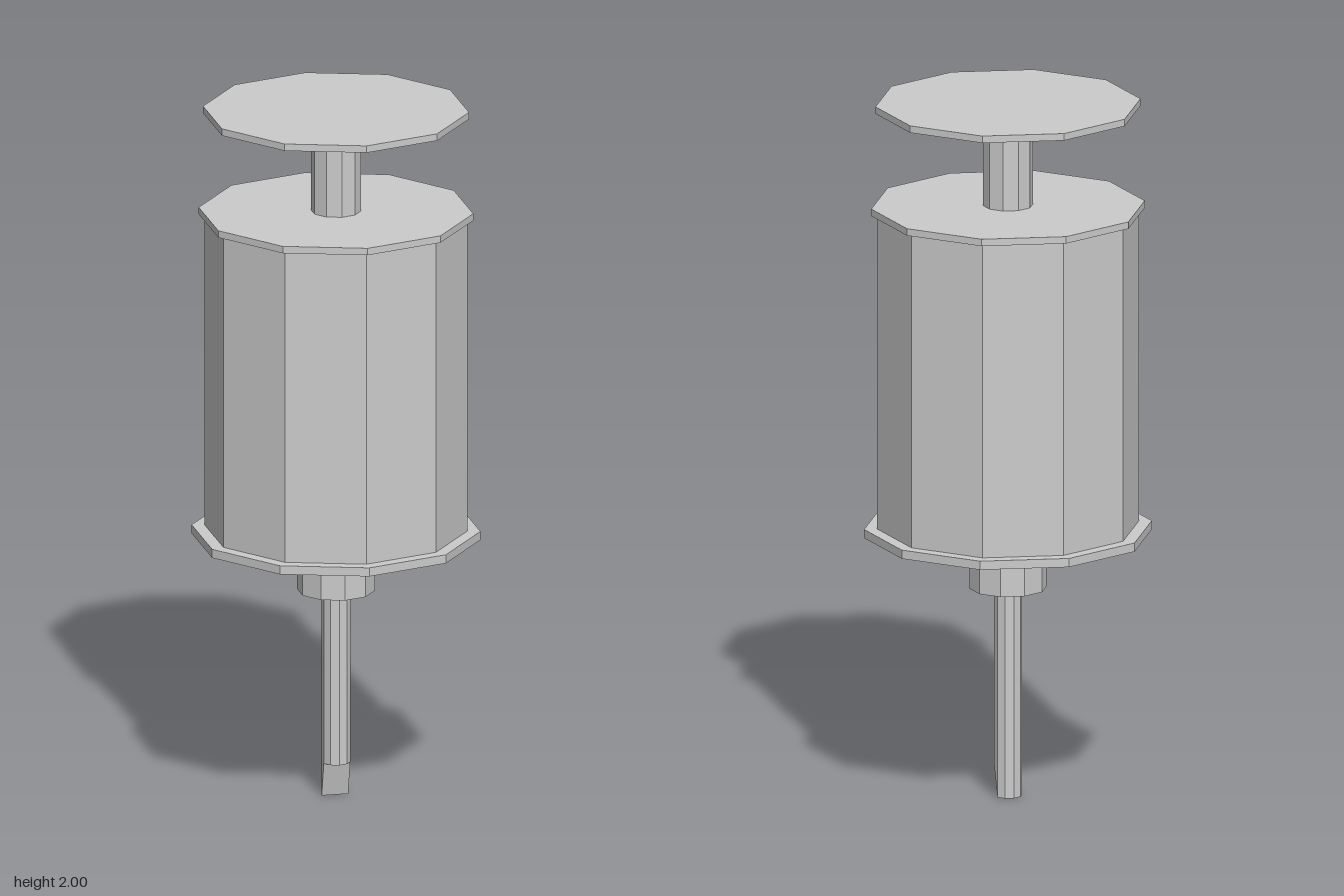
import * as THREE from 'three';

const SIDES = 10;

export function createModel() {
  const group = new THREE.Group();
  const material = new THREE.MeshStandardMaterial({ color: 0xcccccc, flatShading: true });

  function add(name, geometry) {
    const mesh = new THREE.Mesh(geometry, material);
    mesh.name = name;
    group.add(mesh);
  }

  // Ten-sided prism between two heights
  function prism(name, radius, bottom, top) {
    const geometry = new THREE.CylinderGeometry(radius, radius, top - bottom, SIDES);
    add(name, geometry.translate(0, (bottom + top) / 2, 0));
  }

  prism('thumbRest', 0.373, 1.98, 2.0);
  prism('plungerRod', 0.07, 1.705, 1.98);
  prism('barrelCap', 0.385, 1.685, 1.705);
  prism('barrel', 0.368, 0.78, 1.685);
  prism('barrelFlange', 0.405, 0.755, 0.78);
  prism('needleHub', 0.109, 0.6, 0.755);
  add('needle', needleGeometry(0.04, 0.6, 0.1));

  return group;
}

// Needle with half of its bottom ring raised to form the slanted tip
function needleGeometry(radius, length, cut) {
  const geometry = new THREE.CylinderGeometry(radius, radius, length, SIDES, 1, true);
  geometry.translate(0, length / 2, 0);
  const position = geometry.attributes.position;
  const row = SIDES + 1;
  for (let i = 0; i <= SIDES; i++) {
    const k = i % SIDES;
    if (k <= 1 || k >= 7) position.setY(row + i, cut);
  }

  // Tip faces: raised half, slope and lowest half
  const index = Array.from(geometry.index.array);
  const fan = (ring) => {
    for (let i = 1; i < ring.length - 1; i++) {
      index.push(row + ring[0], row + ring[i + 1], row + ring[i]);
    }
  };
  fan([7, 8, 9, 0, 1]);
  fan([7, 1, 2, 6]);
  fan([2, 3, 4, 5, 6]);
  geometry.setIndex(index);
  geometry.computeVertexNormals();
  return geometry;
}
